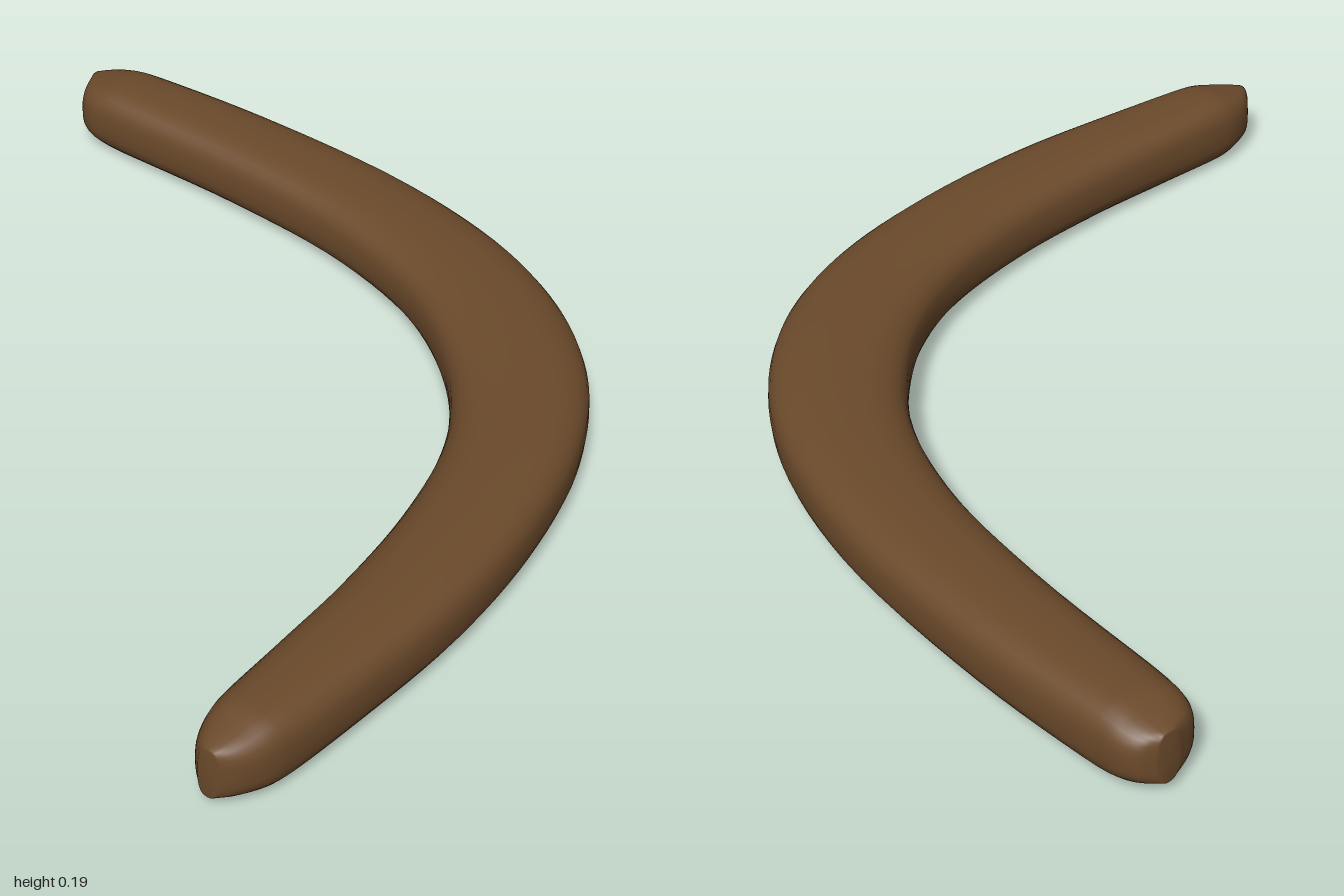
import * as THREE from 'three';

// Cross-sections along the body: [outer x, outer z, inner x, inner z, half height]
const SECTIONS = [
  [-0.99, -0.92, -0.99, -0.865, 0.063],
  [-0.965, -0.957, -0.965, -0.805, 0.07],
  [-0.925, -0.977, -0.925, -0.777, 0.08],
  [-0.86, -0.985, -0.86, -0.768, 0.092],
  [-0.5, -1.0, -0.42, -0.748, 0.093],
  [0.0, -0.967, -0.05, -0.695, 0.093],
  [0.35, -0.872, 0.24, -0.585, 0.093],
  [0.59, -0.735, 0.455, -0.415, 0.093],
  [0.77, -0.55, 0.575, -0.26, 0.093],
  [0.89, -0.315, 0.65, -0.1, 0.093],
  [0.96, -0.02, 0.71, 0.15, 0.093],
  [0.985, 0.3, 0.738, 0.42, 0.093],
  [0.967, 0.62, 0.745, 0.65, 0.093],
  [0.94, 0.86, 0.752, 0.86, 0.092],
  [0.922, 0.92, 0.765, 0.92, 0.08],
  [0.895, 0.965, 0.787, 0.965, 0.07],
  [0.865, 0.993, 0.815, 0.993, 0.063],
];
const MID_Y = 0.097, STEPS = 96, SIDES = 32, ROUNDNESS = 2.8;

// Lofts a rounded-rectangle section between the outer and inner edge curves
function loftBody() {
  const outer = new THREE.CatmullRomCurve3(SECTIONS.map(s => new THREE.Vector3(s[0], s[4], s[1])));
  const inner = new THREE.CatmullRomCurve3(SECTIONS.map(s => new THREE.Vector3(s[2], s[4], s[3])));
  const soften = v => Math.sign(v) * Math.pow(Math.abs(v), 2 / ROUNDNESS);
  const positions = [], index = [];
  for (let i = 0; i <= STEPS; i++) {
    const a = outer.getPoint(i / STEPS), b = inner.getPoint(i / STEPS);
    const halfHeight = Math.min(a.y, 0.093);
    for (let j = 0; j < SIDES; j++) {
      const angle = (j / SIDES) * Math.PI * 2;
      const across = (soften(Math.cos(angle)) + 1) / 2;
      positions.push(
        a.x + (b.x - a.x) * across,
        MID_Y + halfHeight * soften(Math.sin(angle)),
        a.z + (b.z - a.z) * across);
    }
  }
  for (let i = 0; i < STEPS; i++) {
    for (let j = 0; j < SIDES; j++) {
      const k = (j + 1) % SIDES;
      const p = i * SIDES + j, q = i * SIDES + k;
      index.push(p, p + SIDES, q, q, p + SIDES, q + SIDES);
    }
  }
  // Close both tips with fans
  for (const [row, flip] of [[0, false], [STEPS, true]]) {
    const s = SECTIONS[flip ? SECTIONS.length - 1 : 0];
    const centre = positions.length / 3;
    positions.push((s[0] + s[2]) / 2, MID_Y, (s[1] + s[3]) / 2);
    for (let j = 0; j < SIDES; j++) {
      const p = row * SIDES + j, q = row * SIDES + (j + 1) % SIDES;
      if (flip) index.push(centre, q, p);
      else index.push(centre, p, q);
    }
  }
  const geometry = new THREE.BufferGeometry();
  geometry.setAttribute('position', new THREE.Float32BufferAttribute(positions, 3));
  geometry.setIndex(index);
  geometry.computeVertexNormals();
  return geometry;
}

export function createModel() {
  const wood = new THREE.MeshStandardMaterial({ color: 0x6b4a2b });
  wood.name = 'brown wood';
  const body = new THREE.Mesh(loftBody(), wood);
  body.name = 'boomerangBody';
  const group = new THREE.Group();
  group.name = 'boomerang';
  group.add(body);
  return group;
}
